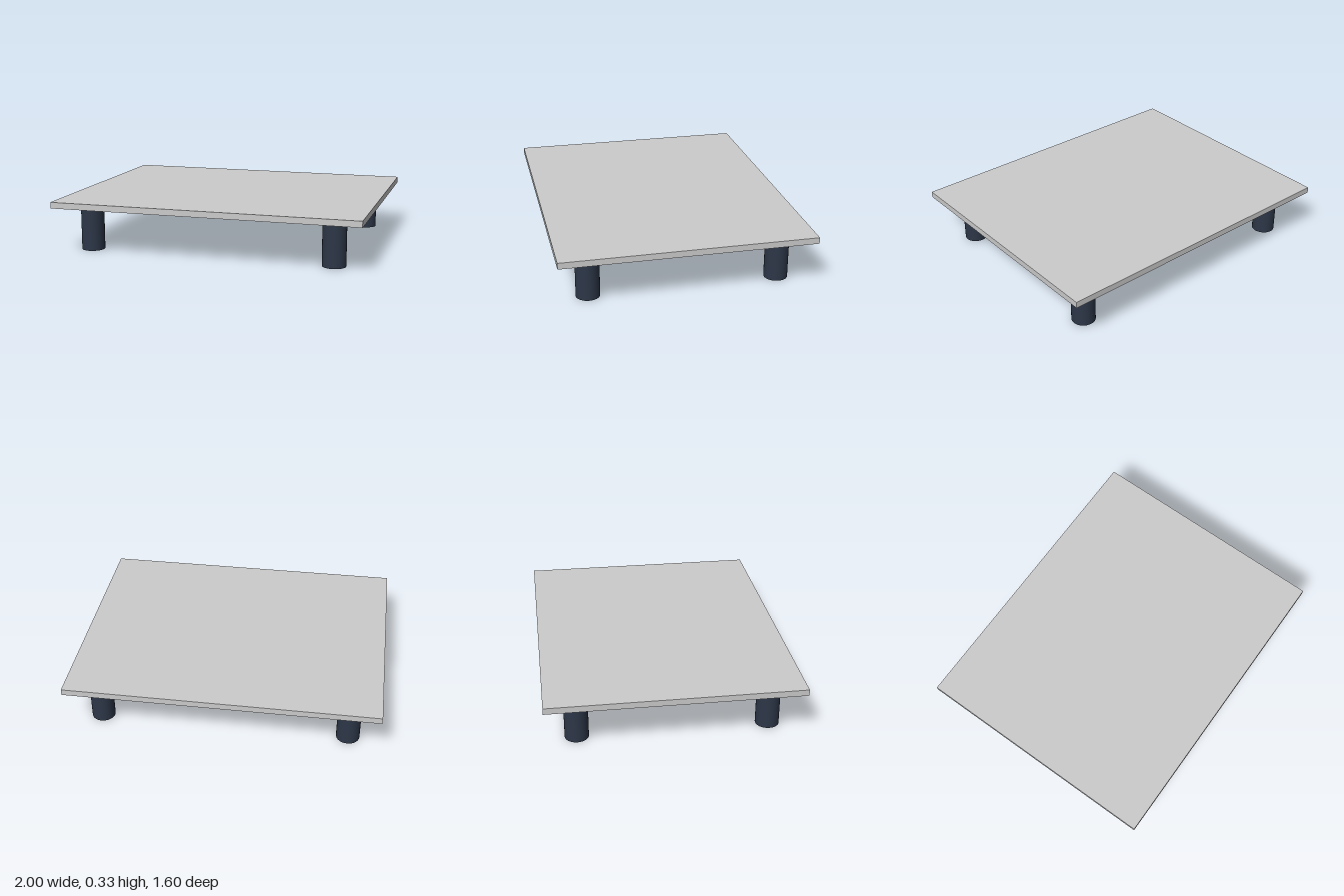
import * as THREE from 'three';

export function createModel() {
  const group = new THREE.Group();
  const legHeight = 0.294, topThickness = 0.04;

  // flat rectangular top
  const top = new THREE.Mesh(
    new THREE.BoxGeometry(2, topThickness, 1.6),
    new THREE.MeshStandardMaterial({ color: 0xcccccc })
  );
  top.name = 'tableTop';
  top.position.y = legHeight + topThickness / 2;
  group.add(top);

  // four short round legs, one near each corner
  const legGeometry = new THREE.CylinderGeometry(0.075, 0.075, legHeight, 32);
  const legMaterial = new THREE.MeshStandardMaterial({ color: 0x2d3748 });
  for (const [zName, z] of [['front', 0.6], ['back', -0.6]]) {
    for (const [xName, x] of [['Left', 0.8], ['Right', -0.8]]) {
      const leg = new THREE.Mesh(legGeometry, legMaterial);
      leg.name = `${zName}${xName}Leg`;
      leg.position.set(x, legHeight / 2, z);
      group.add(leg);
    }
  }
  return group;
}
